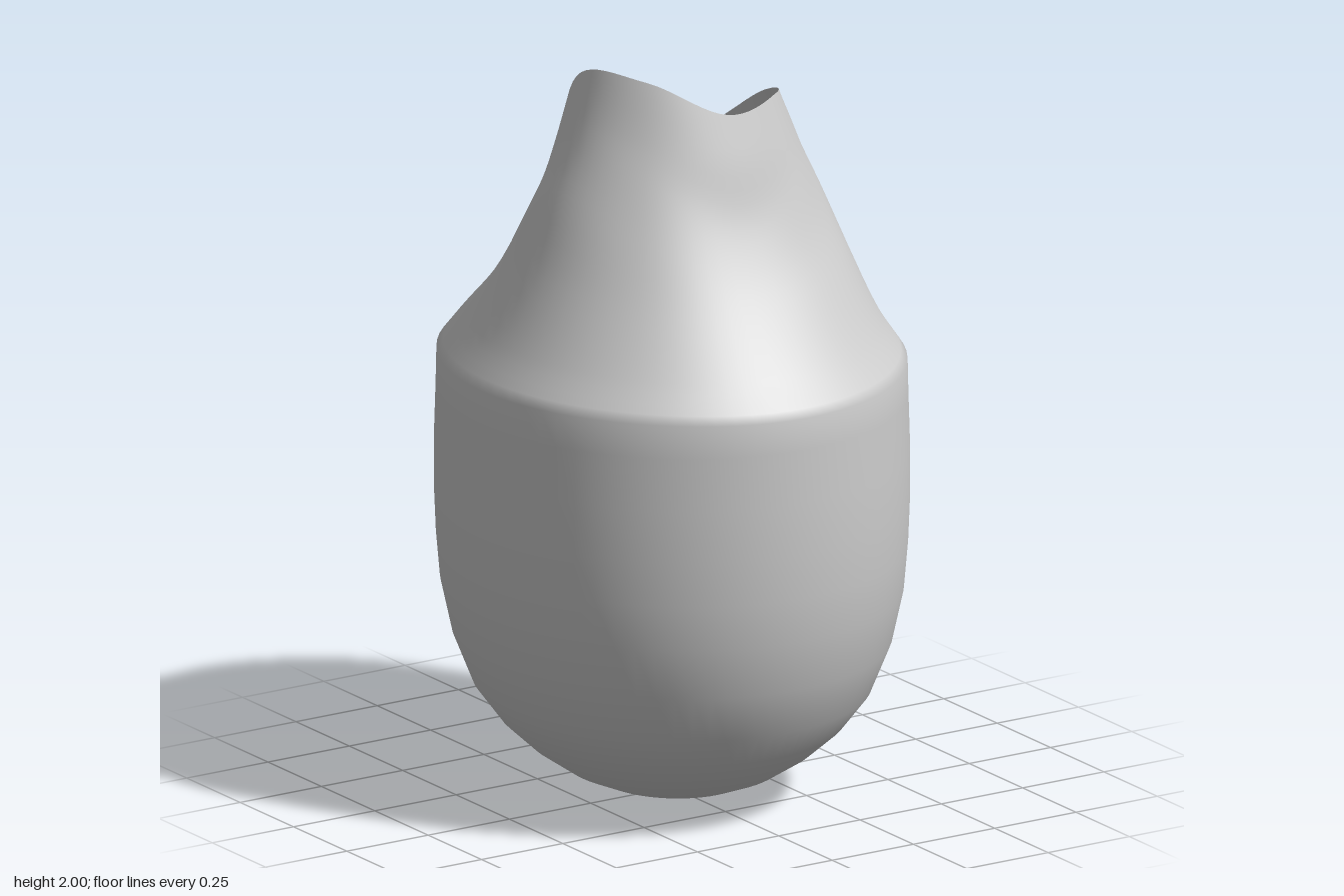
import * as THREE from 'three';

const SEGMENTS = 72;
const RIM = [0.28, 0.262];    // opening half-widths in x and z
const BODY = [0.595, 0.65];   // body half-widths in x and z

// Shoulder heights from rim to body edge at shared radial fractions,
// one row every 45 degrees starting at +x and turning towards +z.
const FRACTIONS = [0, 0.1, 0.2, 0.35, 0.55, 0.8, 1];
const SHOULDER = [
  [1.83, 1.77, 1.70, 1.62, 1.47, 1.28, 1.18],    // +x
  [1.885, 1.78, 1.68, 1.55, 1.42, 1.265, 1.17],
  [1.88, 1.76, 1.62, 1.50, 1.38, 1.25, 1.165],   // front
  [1.98, 1.83, 1.72, 1.58, 1.42, 1.265, 1.17],
  [1.975, 1.86, 1.76, 1.64, 1.46, 1.28, 1.17],   // -x
  [1.74, 1.62, 1.53, 1.46, 1.37, 1.265, 1.175],
  [1.62, 1.49, 1.425, 1.39, 1.34, 1.26, 1.18],   // back, with a ledge
  [1.69, 1.56, 1.48, 1.44, 1.385, 1.28, 1.18],
];

// Rounded lower body: radius fraction and height
const LOWER = [
  [0.993, 1.08], [1, 0.94], [1, 0.8], [0.992, 0.68], [0.975, 0.56], [0.925, 0.42],
  [0.84, 0.29], [0.73, 0.2], [0.605, 0.13], [0.46, 0.07], [0.32, 0.033], [0.16, 0.008], [0, 0],
];

// Smooth periodic interpolation between the shoulder rows
function shoulderHeight(column, turn) {
  const n = SHOULDER.length;
  const i = Math.floor(turn * n);
  const t = turn * n - i;
  const [a, b, c, d] = [-1, 0, 1, 2].map((k) => SHOULDER[(i + k + n) % n][column]);
  return b + 0.5 * t * (c - a + t * (2 * a - 5 * b + 4 * c - d + t * (3 * (b - c) + d - a)));
}

// Points down one side, from the rim to the bottom
function sideProfile(turn) {
  const c = Math.cos(turn * Math.PI * 2);
  const s = Math.sin(turn * Math.PI * 2);
  const knots = FRACTIONS.map((f, k) => new THREE.Vector3(
    c * THREE.MathUtils.lerp(RIM[0], BODY[0] * 0.988, f),
    shoulderHeight(k, turn),
    s * THREE.MathUtils.lerp(RIM[1], BODY[1] * 0.993, f),
  ));
  const upper = new THREE.CatmullRomCurve3(knots, false, 'centripetal').getPoints(24);
  const lower = LOWER.map(([r, y]) => new THREE.Vector3(c * r * BODY[0], y, s * r * BODY[1]));
  return [...upper, ...lower];
}

// Skin the side profiles into one closed-round shell
function shellGeometry() {
  const positions = [];
  const index = [];
  let rows = 0;
  for (let j = 0; j < SEGMENTS; j++) {
    const points = sideProfile(j / SEGMENTS);
    rows = points.length;
    points.forEach((p) => positions.push(p.x, p.y, p.z));
  }
  for (let j = 0; j < SEGMENTS; j++) {
    for (let i = 0; i < rows - 1; i++) {
      const a = j * rows + i;
      const b = ((j + 1) % SEGMENTS) * rows + i;
      index.push(a, b, a + 1);
      if (i < rows - 2) index.push(b, b + 1, a + 1);
    }
  }
  const geometry = new THREE.BufferGeometry();
  geometry.setAttribute('position', new THREE.Float32BufferAttribute(positions, 3));
  geometry.setIndex(index);
  geometry.computeVertexNormals();
  return geometry;
}

export function createModel() {
  const model = new THREE.Group();
  model.name = 'vessel';
  const material = new THREE.MeshStandardMaterial({ color: 0xcccccc, side: THREE.DoubleSide });
  const shell = new THREE.Mesh(shellGeometry(), material);
  shell.name = 'vesselShell';
  model.add(shell);
  return model;
}
